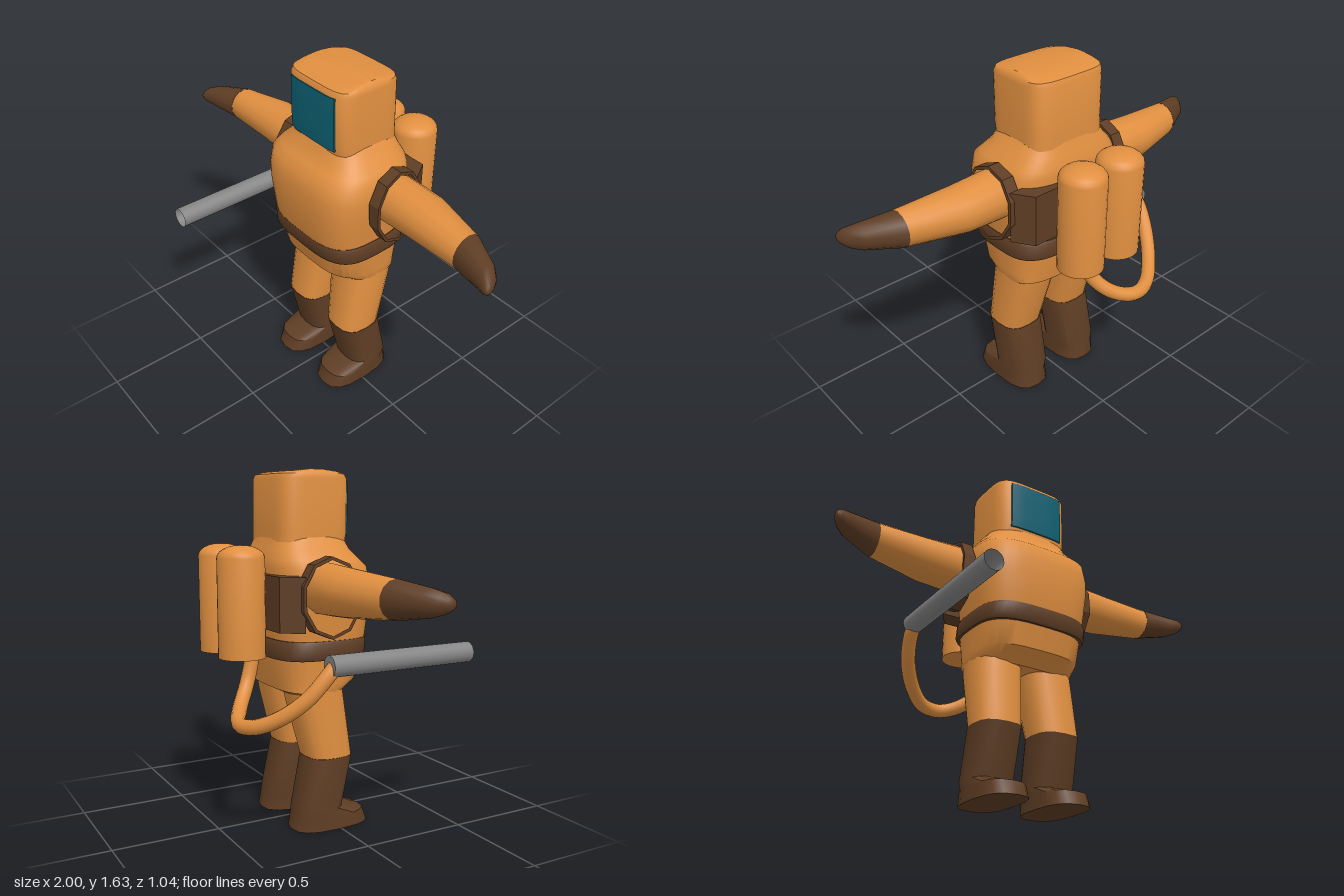
import * as THREE from 'three';
import { toCreasedNormals } from 'three/addons/utils/BufferGeometryUtils.js';

const paint = (name, color) => {
  const m = new THREE.MeshStandardMaterial({ color });
  m.name = name;
  return m;
};

// Skin a stack of closed rings (arrays of [x, y, z]) and cap both ends
function skin(rings, crease = 0.7) {
  const n = rings[0].length, pos = [], idx = [];
  rings.forEach((r) => r.forEach((p) => pos.push(...p)));
  for (let i = 0; i < rings.length - 1; i++) {
    for (let j = 0; j < n; j++) {
      const a = i * n + j, b = i * n + (j + 1) % n;
      idx.push(a, a + n, b, b, a + n, b + n);
    }
  }
  [0, rings.length - 1].forEach((i) => {
    const c = pos.length / 3;
    pos.push(...[0, 1, 2].map((k) => rings[i].reduce((s, p) => s + p[k], 0) / n));
    for (let j = 0; j < n; j++) {
      const a = i * n + j, b = i * n + (j + 1) % n;
      if (i === 0) idx.push(c, a, b);
      else idx.push(c, b, a);
    }
  });
  const g = new THREE.BufferGeometry();
  g.setAttribute('position', new THREE.Float32BufferAttribute(pos, 3));
  g.setIndex(idx);
  return toCreasedNormals(g, crease);
}

// Point on a rounded square (higher power = squarer)
function rounded(j, n, power) {
  const t = (j / n) * Math.PI * 2;
  const f = (v) => Math.sign(v) * Math.pow(Math.abs(v), 2 / power);
  return [f(Math.cos(t)), f(Math.sin(t))];
}

// Upright loft from rows [y, xMin, xMax, zBack, zFront], bottom to top
function column(rows, power, n) {
  return skin(rows.map(([y, x0, x1, zb, zf]) => Array.from({ length: n }, (_, j) => {
    const [c, s] = rounded(j, n, power);
    return [(x0 + x1) / 2 + c * (x1 - x0) / 2, y, (zb + zf) / 2 + s * (zf - zb) / 2];
  })));
}

// Sideways loft from rows [x, yCentre, yRadius, zCentre, zRadius], body outwards
function limb(rows, side, n = 14) {
  return skin(rows.map(([x, y, ry, z, rz]) => Array.from({ length: n }, (_, j) => {
    const [c, s] = rounded(j, n, 2);
    return [side * x, y + c * ry, z - side * s * rz];
  })), 1);
}

export function createModel() {
  const orange = paint('orange suit', 0xe08f40);
  const brown = paint('brown leather', 0x5e3d24);
  const teal = paint('teal glass', 0x0e6072);
  const grey = paint('grey metal', 0x858585);
  grey.side = THREE.DoubleSide;

  const model = new THREE.Group();
  model.name = 'suitedFigure';
  const add = (name, geometry, material, x = 0, y = 0, z = 0) => {
    const mesh = new THREE.Mesh(geometry, material);
    mesh.name = name;
    mesh.position.set(x, y, z);
    model.add(mesh);
    return mesh;
  };
  const sym = ([y, hx, zb, zf]) => [y, -hx, hx, zb, zf];

  // Torso, swelling from the waist and narrowing to the neck
  add('torso', column([
    [0.84, 0.272, -0.26, 0.165], [0.9, 0.278, -0.265, 0.183], [1.05, 0.3, -0.28, 0.195],
    [1.13, 0.305, -0.285, 0.195], [1.21, 0.298, -0.288, 0.18], [1.245, 0.275, -0.285, 0.145],
    [1.285, 0.238, -0.268, 0.11], [1.34, 0.2, -0.25, 0.088],
  ].map(sym), 3.4, 40), orange);

  // Boxy helmet with a gently arched top
  add('helmet', column([
    [1.32, 0.2, -0.252, 0.09], [1.36, 0.2, -0.25, 0.097], [1.595, 0.2, -0.247, 0.097],
    [1.615, 0.197, -0.238, 0.085], [1.626, 0.188, -0.2, 0.045], [1.634, 0.18, -0.13, -0.03],
  ].map(sym), 4.6, 40), orange);

  // Visor plate, bowed to follow the helmet
  const glass = new THREE.BoxGeometry(0.288, 0.25, 0.009, 10, 10, 1);
  const gp = glass.attributes.position;
  for (let i = 0; i < gp.count; i++) {
    const u = gp.getX(i) / 0.144, v = gp.getY(i) / 0.125;
    gp.setZ(i, gp.getZ(i) - 0.008 * u ** 4 - 0.003 * v ** 4);
  }
  glass.computeVertexNormals();
  add('visor', glass, teal, 0, 1.465, 0.1);

  // Belt and hips
  add('belt', column([
    [0.803, 0.284, -0.28, 0.17], [0.815, 0.29, -0.285, 0.178],
    [0.875, 0.287, -0.278, 0.183], [0.888, 0.28, -0.27, 0.18],
  ].map(sym), 3.4, 40), brown);
  add('hips', column([
    [0.638, 0.255, -0.21, 0.05], [0.655, 0.262, -0.245, 0.07],
    [0.695, 0.265, -0.255, 0.132], [0.82, 0.275, -0.272, 0.165],
  ].map(sym), 3.2, 32), orange);

  for (const side of [1, -1]) {
    const label = side > 0 ? 'left' : 'right';
    const half = ([y, xi, xo, zb, zf]) =>
      [y, Math.min(side * xi, side * xo), Math.max(side * xi, side * xo), zb, zf];

    // Leg and boot
    add(label + 'Leg', column([
      [0.34, 0.045, 0.264, -0.133, 0.09], [0.6, 0.02, 0.264, -0.2, 0.055],
      [0.68, 0.008, 0.262, -0.215, 0.045],
    ].map(half), 2.8, 16), orange);
    add(label + 'Boot', column([
      [0, 0.052, 0.272, -0.205, 0.178], [0.065, 0.052, 0.272, -0.192, 0.152],
      [0.1, 0.05, 0.27, -0.185, 0.036], [0.34, 0.044, 0.266, -0.135, 0.092],
    ].map(half), 2.8, 16), brown);

    // Arm and glove, curving forward
    add(label + 'Arm', limb([
      [0.24, 1.122, 0.117, -0.1, 0.11], [0.35, 1.122, 0.113, -0.1, 0.112],
      [0.52, 1.122, 0.103, -0.102, 0.112], [0.78, 1.122, 0.081, -0.068, 0.079],
    ], side), orange);
    add(label + 'Glove', limb([
      [0.78, 1.122, 0.082, -0.068, 0.08], [0.93, 1.122, 0.057, -0.015, 0.055],
      [0.975, 1.122, 0.041, 0.014, 0.041], [0.993, 1.121, 0.024, 0.029, 0.025],
      [1.0, 1.12, 0.012, 0.034, 0.013],
    ], side), brown);

    // Ten-sided harness loop round the shoulder, slightly slanted
    const loop = (inset) => Array.from({ length: 10 }, (_, j) => {
      const t = (j / 10) * Math.PI * 2;
      return new THREE.Vector2(Math.sin(t) * (0.142 - inset), Math.cos(t) * (0.178 - inset));
    });
    const shape = new THREE.Shape(loop(0));
    shape.holes.push(new THREE.Path(loop(0.015)));
    const strap = new THREE.ExtrudeGeometry(shape, { depth: 0.058, bevelEnabled: false });
    strap.translate(0, 0, -0.029).rotateY(Math.PI / 2);
    const sp = strap.attributes.position;
    for (let i = 0; i < sp.count; i++) {
      sp.setX(i, sp.getX(i) + side * (0.077 * sp.getZ(i) - 0.035 * sp.getY(i)));
    }
    strap.computeVertexNormals();
    add(label + 'ShoulderStrap', strap, brown, side * 0.329, 1.087, -0.102);

    // Air tank with a low domed top
    const r = 0.105;
    const profile = [[0, 0.82], [r, 0.82], [r, 1.255]];
    for (let k = 1; k <= 6; k++) {
      const t = (k / 6) * Math.PI / 2;
      profile.push([Math.max(0, r * Math.cos(t)), 1.255 + 0.055 * Math.sin(t)]);
    }
    const tank = new THREE.LatheGeometry(profile.map((p) => new THREE.Vector2(...p)), 28);
    add(label + 'Tank', toCreasedNormals(tank, 0.7), orange, side * 0.108, 0, -0.417);
  }

  // Harness plate across the back
  const plan = [[-0.335, 0.22], [0.335, 0.22], [0.275, 0.315], [-0.275, 0.315]];
  const plate = new THREE.ExtrudeGeometry(
    new THREE.Shape(plan.map((p) => new THREE.Vector2(...p))), { depth: 0.24, bevelEnabled: false });
  plate.rotateX(-Math.PI / 2);
  add('backPlate', plate, brown, 0, 0.94, 0);

  // Hose from the tanks down and round to the nozzle
  const path = new THREE.CatmullRomCurve3([
    [-0.005, 0.86, -0.322], [-0.005, 0.77, -0.328], [-0.02, 0.67, -0.36], [-0.09, 0.585, -0.425],
    [-0.2, 0.545, -0.475], [-0.3, 0.552, -0.455], [-0.4, 0.605, -0.375],
    [-0.47, 0.69, -0.285], [-0.497, 0.775, -0.215], [-0.5, 0.825, -0.17],
  ].map((p) => new THREE.Vector3(...p)));
  add('hose', new THREE.TubeGeometry(path, 48, 0.034, 12), orange);

  // Open metal nozzle pointing forward
  const barrel = new THREE.CylinderGeometry(0.047, 0.047, 0.72, 20, 1, true);
  barrel.rotateX(Math.PI / 2);
  add('nozzle', barrel, grey, -0.5, 0.825, 0.16);
  add('nozzleBack', new THREE.CircleGeometry(0.047, 20), grey, -0.5, 0.825, -0.2);

  return model;
}
